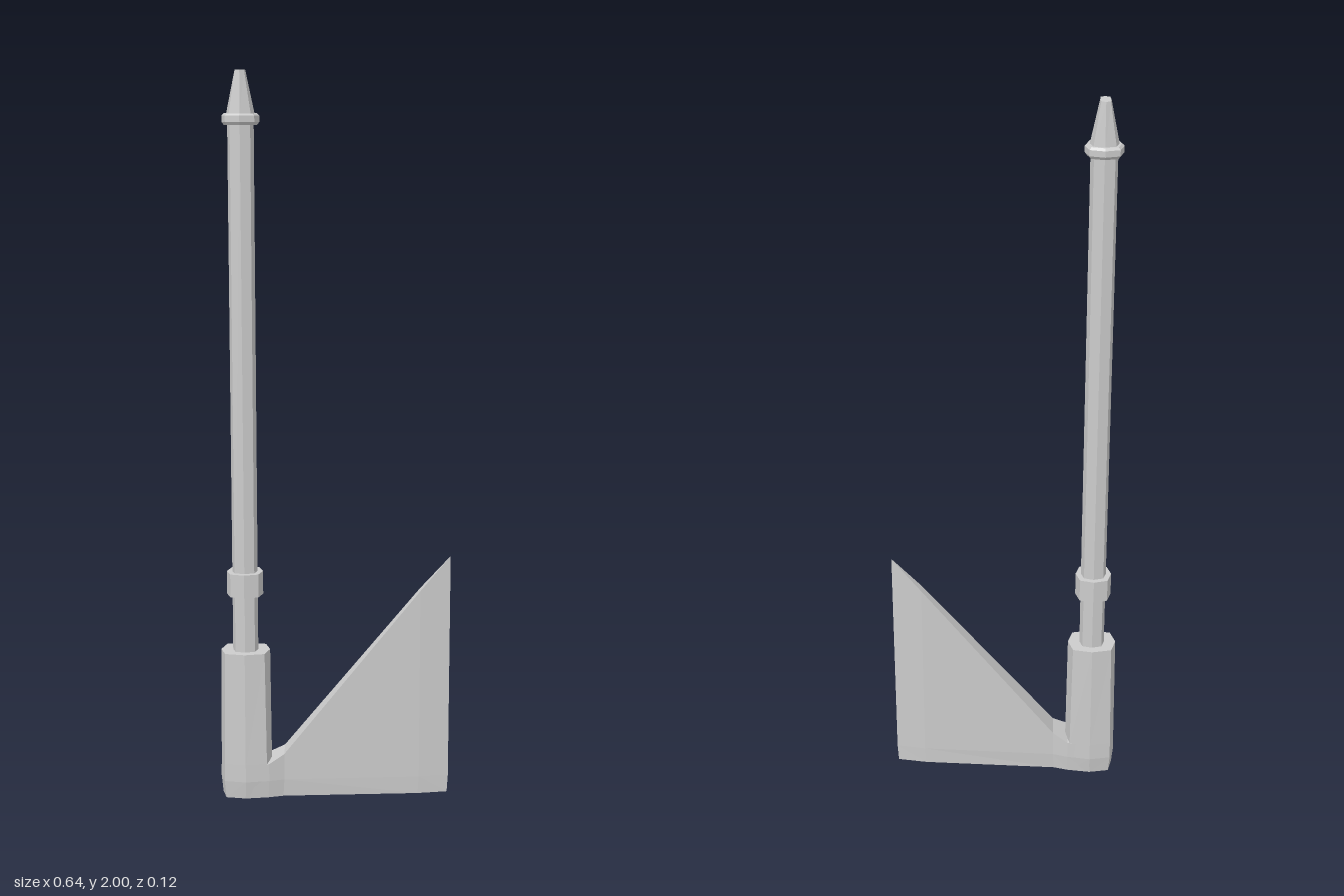
import * as THREE from 'three';

const STAFF_X = -0.25;

// Skin a list of equal-length rings (counter-clockwise seen from the last ring), closing both ends
function loft(name, rings) {
  const pos = [];
  const tri = (a, b, c) => pos.push(...a, ...b, ...c);
  const n = rings[0].length;
  for (let r = 0; r < rings.length - 1; r++) {
    const a = rings[r], b = rings[r + 1];
    for (let i = 0; i < n; i++) {
      const j = (i + 1) % n;
      tri(a[i], a[j], b[j]);
      tri(a[i], b[j], b[i]);
    }
  }
  const first = rings[0], last = rings[rings.length - 1];
  for (let i = 1; i < n - 1; i++) {
    tri(first[0], first[i + 1], first[i]);
    tri(last[0], last[i], last[i + 1]);
  }
  const geo = new THREE.BufferGeometry();
  geo.setAttribute('position', new THREE.Float32BufferAttribute(pos, 3));
  geo.computeVertexNormals();
  const mesh = new THREE.Mesh(geo, new THREE.MeshStandardMaterial({ color: 0xcccccc, flatShading: true }));
  mesh.name = name;
  return mesh;
}

// Eight-sided ring with corners on the axes; k sets how far the diagonal corners reach
function octagon(y, rx, rz, k = 0.77) {
  return Array.from({ length: 8 }, (_, i) => {
    const a = (i * Math.PI) / 4;
    const s = i % 2 ? k / Math.SQRT1_2 : 1;
    return [Math.cos(a) * s * rx, y, -Math.sin(a) * s * rz];
  });
}

// Upright eight-sided part from [y, rx, rz, k] levels
function column(name, levels) {
  const mesh = loft(name, levels.map((l) => octagon(...l)));
  mesh.position.x = STAFF_X;
  return mesh;
}

export function createModel() {
  const group = new THREE.Group();
  group.name = 'bladedStaff';

  // Socket at the foot, slightly swollen near the base
  group.add(column('socket', [
    [0, 0.067, 0.056, 0.83], [0.05, 0.072, 0.062, 0.83],
    [0.1, 0.071, 0.062, 0.83], [0.42, 0.068, 0.058, 0.8],
  ]));

  // Long pole
  group.add(column('shaft', [[0.4, 0.035, 0.034], [1.87, 0.035, 0.034]]));

  // Collars around the pole
  group.add(column('lowerCollar', [[0.58, 0.05, 0.05], [0.645, 0.05, 0.05]]));
  group.add(column('upperCollar', [
    [1.858, 0.044, 0.044], [1.866, 0.05, 0.05], [1.882, 0.05, 0.05], [1.888, 0.044, 0.044],
  ]));

  // Tip narrowing to a thin ridge
  group.add(column('tip', [[1.88, 0.039, 0.038], [2, 0.014, 0.027, 0.85]]));

  // Blade: cross-sections along x as [x, top height, half thickness], ending in a sharp edge
  const sections = [
    [-0.25, 0.1, 0.061], [-0.185, 0.1, 0.051], [-0.143, 0.125, 0.038],
    [0.235, 0.592, 0.015], [0.318, 0.688, 0.0005],
  ];
  group.add(loft('blade', sections.map(([x, top, h]) => [
    [x - 0.003, 0, -h * 0.92], [x, 0.05, -h], [x, top, -h],
    [x, top, h], [x, 0.05, h], [x - 0.003, 0, h * 0.92],
  ])));

  return group;
}
